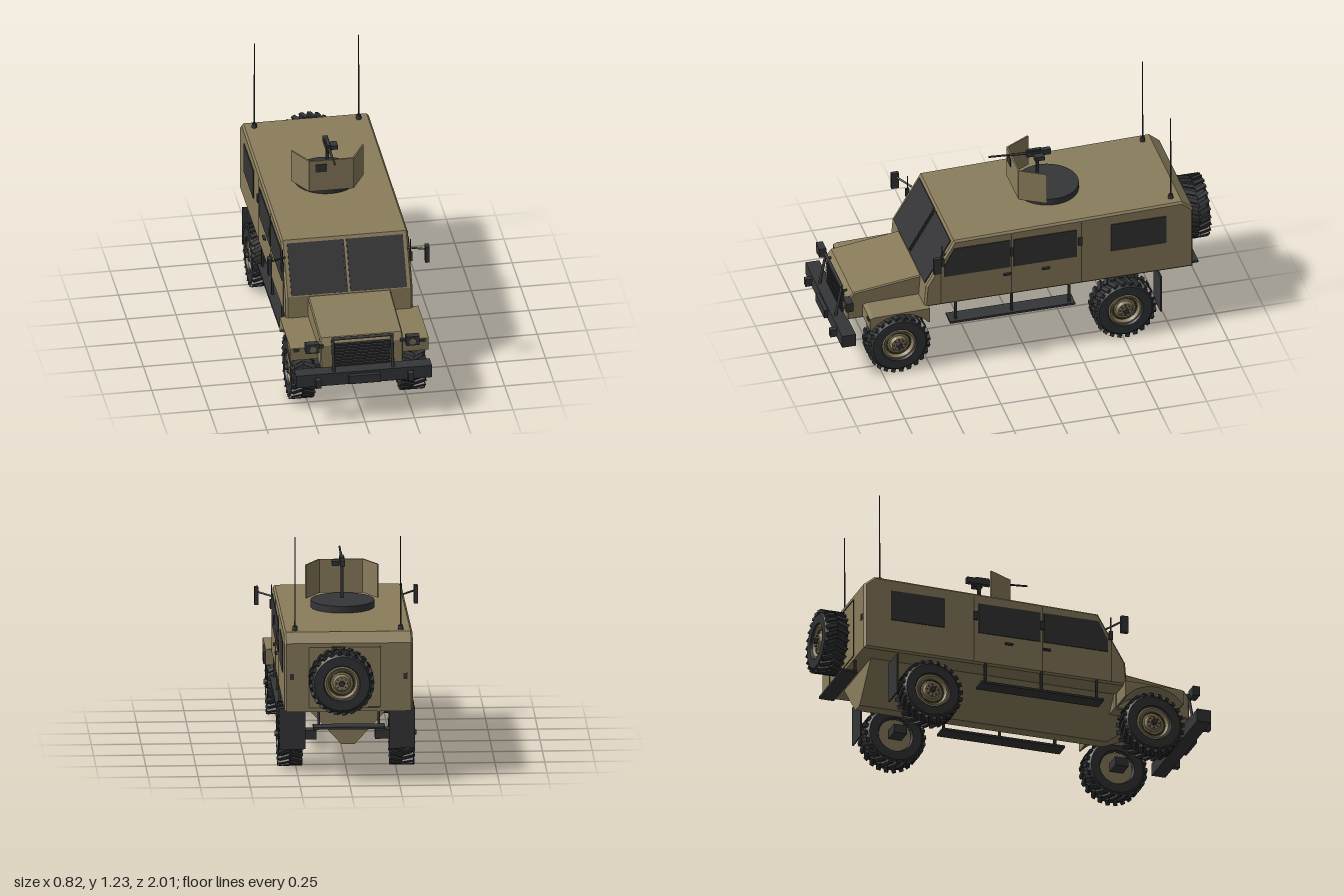
import * as THREE from 'three';
import { mergeGeometries, toCreasedNormals } from 'three/addons/utils/BufferGeometryUtils.js';

const mat = (name, color) => {
  const m = new THREE.MeshStandardMaterial({ color });
  m.name = name;
  return m;
};

export function createModel() {
  const tan = mat('sand paint', 0x8a7d5c);
  const dark = mat('dark metal', 0x353638);
  const rubber = mat('tyre rubber', 0x313234);
  const glass = mat('dark glass', 0x343436);
  const seam = mat('seam', 0x4a4433);
  const lens = mat('lamp lens', 0x77725f);
  const root = new THREE.Group();

  const add = (name, geo, m, pos = [0, 0, 0], parent = root) => {
    const mesh = new THREE.Mesh(geo, m);
    mesh.name = name;
    mesh.position.set(...pos);
    parent.add(mesh);
    return mesh;
  };
  const box = (name, m, size, pos, parent) => add(name, new THREE.BoxGeometry(...size), m, pos, parent);
  const tube = (name, m, a, b, r, parent) => {
    const path = new THREE.LineCurve3(new THREE.Vector3(...a), new THREE.Vector3(...b));
    return add(name, new THREE.TubeGeometry(path, 1, r, 8), m, [0, 0, 0], parent);
  };
  // Side profile given as (z, y), extruded across x and centred
  const slab = (points, width, bevel = 0) => {
    const shape = points instanceof THREE.Shape ? points
      : new THREE.Shape(points.map(p => new THREE.Vector2(...p)));
    const g = new THREE.ExtrudeGeometry(shape, {
      depth: width - 2 * bevel, bevelEnabled: bevel > 0, bevelSize: bevel,
      bevelThickness: bevel, bevelOffset: -bevel, bevelSegments: 1, curveSegments: 16,
    });
    return g.translate(0, 0, bevel - width / 2).rotateY(-Math.PI / 2).translate(0, 0, 0)
      .translate(bevel, 0, 0);
  };
  const centred = (g) => {
    g.computeBoundingBox();
    const b = g.boundingBox;
    return g.translate(-(b.min.x + b.max.x) / 2, 0, 0);
  };

  // Cabin, hood and V-shaped hull
  add('cabin', centred(slab([[0.53, 0.36], [0.52, 0.485], [0.375, 0.733], [-0.81, 0.757],
    [-0.866, 0.71], [-0.866, 0.36]], 0.645, 0.01)), tan);
  add('hood', centred(slab([[0.5, 0.28], [0.5, 0.483], [0.87, 0.435], [0.895, 0.4], [0.9, 0.28]], 0.42, 0.006)), tan);
  const vee = new THREE.Shape([[-0.033, 0.175], [0.033, 0.175], [0.205, 0.362], [-0.205, 0.362]]
    .map(p => new THREE.Vector2(...p)));
  const hull = new THREE.ExtrudeGeometry(vee, { depth: 1.31, bevelEnabled: false }).translate(0, 0, -0.79);
  const hp = hull.attributes.position;
  for (let i = 0; i < hp.count; i++) if (hp.getZ(i) > 0) hp.setZ(i, 0.52 + (hp.getY(i) - 0.175) * 1.6);
  hull.computeVertexNormals();
  add('hull', hull, tan);

  // Windshield: two panes on the sloped face
  const screen = new THREE.Group();
  screen.name = 'windshield';
  screen.position.set(0, 0.604, 0.452);
  screen.rotation.x = -Math.atan2(0.145, 0.248);
  root.add(screen);
  for (const s of [1, -1]) box('windshieldPane', glass, [0.287, 0.265, 0.008], [s * 0.15, 0, 0], screen);
  box('windshieldPost', dark, [0.008, 0.25, 0.009], [0.012, 0, 0.002], screen);
  box('windshieldPost', dark, [0.008, 0.25, 0.009], [-0.012, 0, 0.002], screen);

  // Wheel parts, axis along x with the outside at +x
  const lathe = (pts, seg) => toCreasedNormals(
    new THREE.LatheGeometry(pts.map(p => new THREE.Vector2(...p)), seg).rotateZ(-Math.PI / 2), 0.5);
  const tyreGeo = lathe([[0.085, -0.045], [0.092, -0.06], [0.138, -0.06], [0.152, -0.045],
    [0.152, 0.045], [0.138, 0.06], [0.092, 0.06], [0.085, 0.045]], 40);
  const rimGeo = lathe([[0, -0.04], [0.087, -0.04], [0.087, 0.05], [0.078, 0.052], [0.068, 0.036],
    [0.045, 0.04], [0.036, 0.056], [0, 0.056]], 32);
  const lugs = [];
  for (let i = 0; i < 24; i++) for (const s of [1, -1]) {
    const lug = new THREE.BoxGeometry(0.06, 0.016, 0.021).rotateY(s * 0.4);
    lug.translate(s * 0.03, 0.154, 0).rotateX((i + (s > 0 ? 0.5 : 0)) * Math.PI / 12);
    lugs.push(lug);
  }
  const lugGeo = mergeGeometries(lugs);
  const wheel = (name, pos, turn) => {
    const g = new THREE.Group();
    g.name = name;
    g.position.set(...pos);
    g.rotation.y = turn;
    add('tyre', tyreGeo, rubber, [0, 0, 0], g);
    add('tread', lugGeo, rubber, [0, 0, 0], g);
    add('rim', rimGeo, tan, [0, 0, 0], g);
    add('hubRing', new THREE.TorusGeometry(0.06, 0.004, 6, 28).rotateY(Math.PI / 2), seam, [0.04, 0, 0], g);
    add('hubCap', new THREE.CylinderGeometry(0.014, 0.016, 0.02, 12).rotateZ(-Math.PI / 2), dark, [0.064, 0, 0], g);
    for (let i = 0; i < 8; i++) {
      const a = i * Math.PI / 4;
      add('bolt', new THREE.CylinderGeometry(0.004, 0.004, 0.006, 6).rotateZ(-Math.PI / 2), dark,
        [0.058, 0.027 * Math.cos(a), 0.027 * Math.sin(a)], g);
    }
    root.add(g);
  };
  wheel('spareWheel', [0.04, 0.53, -0.935], Math.PI / 2);

  // Fender profile with a wheel arch
  const fender = new THREE.Shape();
  fender.moveTo(0.82, 0.29);
  fender.lineTo(0.82, 0.358);
  fender.lineTo(0.8, 0.366);
  fender.lineTo(0.51, 0.372);
  fender.lineTo(0.51, 0.29);
  fender.absarc(0.665, 0.17, 0.19, Math.PI - 0.68, 0.68, true);

  for (const s of [1, -1]) {
    add('fender', centred(slab(fender, 0.15)).translate(s * 0.277, 0, 0), tan);
    box('fenderMarker', dark, [0.03, 0.013, 0.006], [s * 0.32, 0.345, 0.822]);

    // Wheels, axles and mud flaps
    for (const z of [0.665, -0.51]) {
      wheel(z > 0 ? 'frontWheel' : 'rearWheel', [s * 0.281, 0.17, z], s > 0 ? 0 : Math.PI);
      box('axleHousing', dark, [0.085, 0.046, 0.07], [s * 0.19, 0.168, z]);
    }
    box('mudFlap', dark, [0.13, 0.21, 0.008], [s * 0.275, 0.235, -0.695]);

    // Side windows, door seams, handles and hinges
    const panes = [
      [[0.425, 0.53], [0.425, 0.595], [0.375, 0.69], [0.085, 0.69], [0.085, 0.53]],
      [[0.067, 0.53], [0.067, 0.69], [-0.26, 0.69], [-0.26, 0.53]],
      [[-0.44, 0.53], [-0.44, 0.69], [-0.725, 0.69], [-0.725, 0.53]],
    ];
    for (const p of panes) add('sideWindow', centred(slab(p, 0.008)).translate(s * 0.323, 0, 0), glass);
    for (const [z, top] of [[0.445, 0.6], [0.078, 0.725], [-0.285, 0.725]])
      box('doorSeam', seam, [0.006, top - 0.37, 0.005], [s * 0.321, (top + 0.37) / 2, z]);
    for (const z of [0.1, -0.1]) box('doorHandle', dark, [0.012, 0.01, 0.04], [s * 0.328, 0.49, z]);
    for (const z of [0.44, 0.078, -0.278]) box('doorHinge', dark, [0.014, 0.045, 0.02], [s * 0.327, 0.62, z]);

    // Side step with hangers
    box('sideStep', dark, [0.085, 0.012, 0.65], [s * 0.295, 0.256, 0.075]);
    for (const z of [0.367, 0.075, -0.222]) box('stepHanger', dark, [0.012, 0.115, 0.012], [s * 0.315, 0.31, z]);

    // Mirror on its arms
    box('mirror', dark, [0.02, 0.09, 0.038], [s * 0.4, 0.655, 0.485]);
    tube('mirrorArm', dark, [s * 0.31, 0.66, 0.42], [s * 0.395, 0.675, 0.478], 0.005);
    tube('mirrorBracket', dark, [s * 0.325, 0.6, 0.44], [s * 0.325, 0.72, 0.44], 0.003);

    // Headlamp
    box('headlamp', dark, [0.068, 0.05, 0.036], [s * 0.255, 0.405, 0.908]);
    add('headlampLens', new THREE.CylinderGeometry(0.017, 0.017, 0.006, 20).rotateX(Math.PI / 2), lens,
      [s * 0.253, 0.405, 0.928]);
    box('headlampBracket', dark, [0.04, 0.016, 0.014], [s * 0.215, 0.4, 0.895]);

    // Antenna
    add('antennaBase', new THREE.CylinderGeometry(0.012, 0.014, 0.024, 12), dark, [s * 0.265, 0.766, -0.765]);
    add('antenna', new THREE.CylinderGeometry(0.0025, 0.004, 0.46, 6), dark, [s * 0.265, 1.004, -0.765]);

    // Brush guard post and bumper hook
    tube('guardPost', dark, [s * 0.15, 0.27, 0.945], [s * 0.15, 0.445, 0.912], 0.008);
    tube('guardStay', dark, [s * 0.15, 0.42, 0.915], [s * 0.15, 0.42, 0.885], 0.006);
    box('towHook', dark, [0.028, 0.042, 0.035], [s * 0.235, 0.238, 0.98]);
  }

  // Bumper, guard rail and grille
  box('frontBumper', dark, [0.69, 0.068, 0.072], [0, 0.245, 0.928]);
  box('bumperPlate', dark, [0.158, 0.046, 0.02], [0, 0.243, 0.974]);
  tube('guardTopRail', dark, [-0.157, 0.445, 0.912], [0.157, 0.445, 0.912], 0.008);
  for (let i = 0; i < 8; i++) box('grilleBar', dark, [0.285, 0.009, 0.014], [0, 0.292 + i * 0.0165, 0.904]);

  // Rear door outline, hinges and step
  for (const s of [1, -1]) {
    box('rearDoorSeam', seam, [0.005, 0.31, 0.006], [0.02 + s * 0.18, 0.535, -0.866]);
    box('rearDoorSeam', seam, [0.36, 0.005, 0.006], [0.02, 0.535 + s * 0.155, -0.866]);
    box('rearLamp', dark, [0.02, 0.03, 0.006], [s * 0.285, 0.54, -0.867]);
    box('rearStepHanger', dark, [0.012, 0.075, 0.012], [s * 0.15, 0.325, -0.855]);
  }
  box('spareMount', dark, [0.11, 0.11, 0.05], [0.04, 0.53, -0.885]);
  box('rearStep', dark, [0.36, 0.012, 0.08], [0, 0.288, -0.892]);

  // Roof hatch ring and gunner's shield
  add('hatchRing', new THREE.CylinderGeometry(0.16, 0.16, 0.035, 48), dark, [0, 0.766, -0.195]);
  box('shieldFront', tan, [0.218, 0.172, 0.008], [0, 0.866, -0.02]);
  for (const s of [1, -1]) {
    const wing = box('shieldWing', tan, [0.146, 0.172, 0.008], [s * 0.145, 0.866, -0.082]);
    wing.rotation.y = Math.atan2(0.125, s * 0.07);
  }
  box('shieldPort', glass, [0.058, 0.042, 0.008], [-0.052, 0.91, -0.015]);

  // Mounted gun
  box('gunPost', dark, [0.016, 0.2, 0.016], [0, 0.87, -0.145]);
  box('gunBody', dark, [0.026, 0.03, 0.125], [0, 0.97, -0.15]);
  box('gunCover', dark, [0.018, 0.012, 0.07], [0, 0.986, -0.13]);
  tube('gunBarrel', dark, [0, 0.972, -0.1], [0, 0.986, 0.11], 0.005);
  tube('barrelJacket', dark, [0, 0.972, -0.1], [0, 0.979, 0.0], 0.007);
  box('ammoBox', dark, [0.034, 0.022, 0.05], [0.034, 0.961, -0.145]);
  return root;
}
